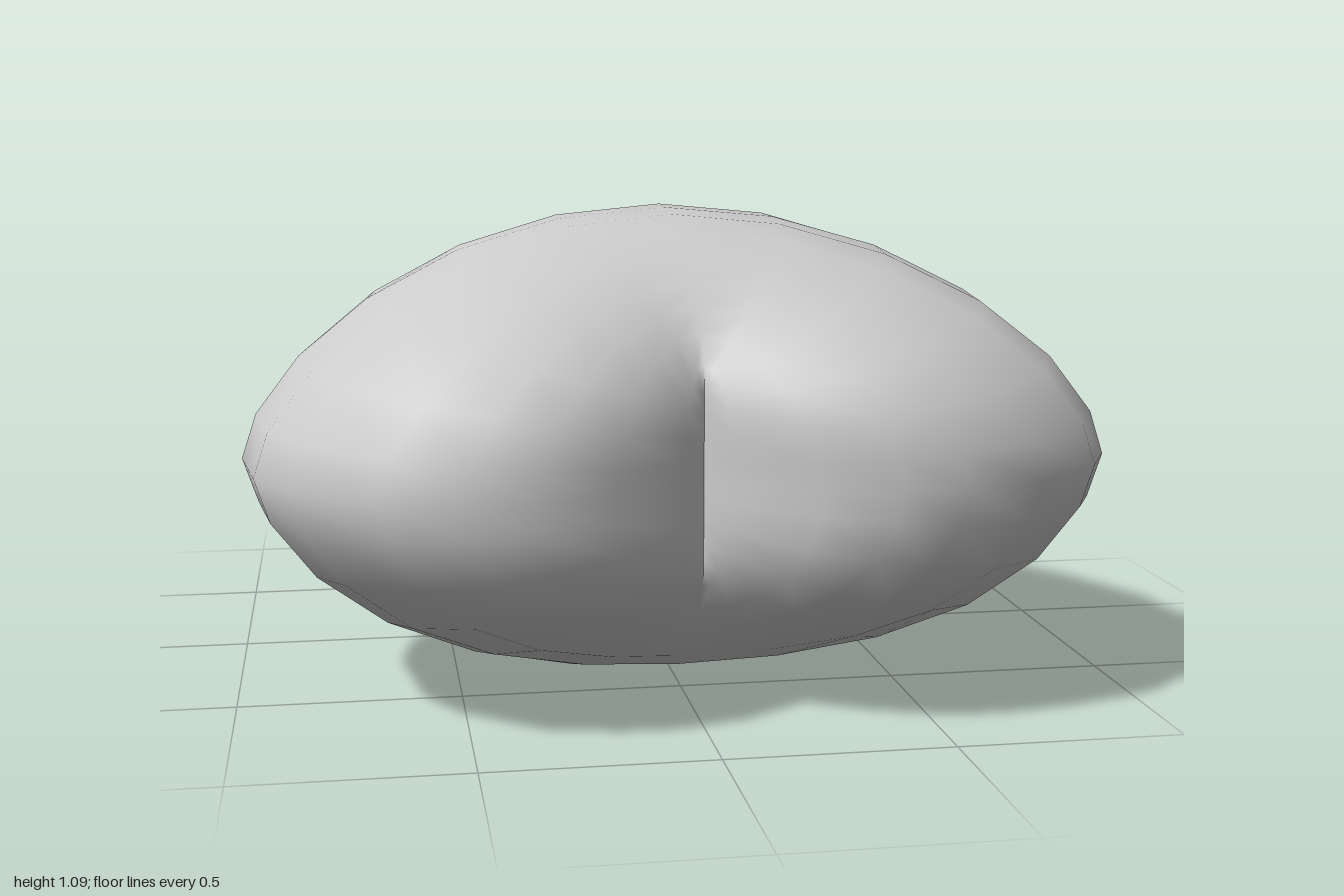
import * as THREE from 'three';
import { toCreasedNormals } from 'three/addons/utils/BufferGeometryUtils.js';

const MID_Y = 0.545;
const SEGMENTS = 24;

// Rings from neck to cleft: half width, half height, z at the sides, z at the top and bottom
const RINGS = [
  [0.085, 0.085, -0.88, -0.88],
  [0.09, 0.09, -0.84, -0.84],
  [0.22, 0.235, -0.67, -0.67],
  [0.42, 0.35, -0.48, -0.47],
  [0.64, 0.44, -0.27, -0.25],
  [0.74, 0.48, -0.14, -0.13],
  [0.84, 0.52, 0.02, 0.01],
  [0.95, 0.543, 0.25, 0.18],
  [0.975, 0.54, 0.4, 0.27],
  [0.94, 0.53, 0.64, 0.37],
  [0.87, 0.5, 0.77, 0.47],
  [0.69, 0.45, 0.93, 0.57],
  [0.52, 0.4, 0.98, 0.64],
  [0.38, 0.35, 0.99, 0.69],
  [0.22, 0.3, 0.95, 0.73],
  [0.06, 0.24, 0.85, 0.77],
  [0, 0.215, 0.78, 0.78],
];

// Heart body: bent rings that close on a vertical crease between the lobes
function heartGeometry() {
  const positions = [];
  const index = [];
  RINGS.forEach(([w, h, zSide, zTop], i) => {
    const pinch = 1 + 0.25 * THREE.MathUtils.smoothstep(i, 1, 5);
    for (let j = 0; j < SEGMENTS; j++) {
      const a = (j / SEGMENTS) * Math.PI * 2;
      const s = Math.sin(a);
      positions.push(
        w * Math.cos(a),
        MID_Y + h * Math.sign(s) * Math.abs(s) ** pinch,
        THREE.MathUtils.lerp(zSide, zTop, s ** 4)
      );
      if (i < RINGS.length - 1) {
        const k = (j + 1) % SEGMENTS;
        const p = i * SEGMENTS;
        const q = p + SEGMENTS;
        index.push(p + j, p + k, q + k, p + j, q + k, q + j);
      }
    }
  });
  const geometry = new THREE.BufferGeometry();
  geometry.setAttribute('position', new THREE.Float32BufferAttribute(positions, 3));
  geometry.setIndex(index);
  geometry.computeVertexNormals();
  return geometry;
}

// Nozzle: eight-sided flared mouth with a tapering hollow
function nozzleGeometry() {
  const profile = [
    [0, -0.9], [0.06, -0.9], [0.1, -1], [0.155, -1],
    [0.155, -0.945], [0.09, -0.885], [0.088, -0.85],
  ].map(([r, z]) => new THREE.Vector2(r, z));
  const geometry = new THREE.LatheGeometry(profile, 8);
  geometry.rotateX(Math.PI / 2);
  geometry.translate(0, MID_Y, 0);
  return toCreasedNormals(geometry, 0.9);
}

export function createModel() {
  const model = new THREE.Group();
  model.name = 'heartBalloon';
  const material = new THREE.MeshStandardMaterial({ color: 0xcccccc });

  const body = new THREE.Mesh(heartGeometry(), material);
  body.name = 'heartBody';
  const nozzle = new THREE.Mesh(nozzleGeometry(), material);
  nozzle.name = 'nozzle';

  model.add(body, nozzle);
  return model;
}
